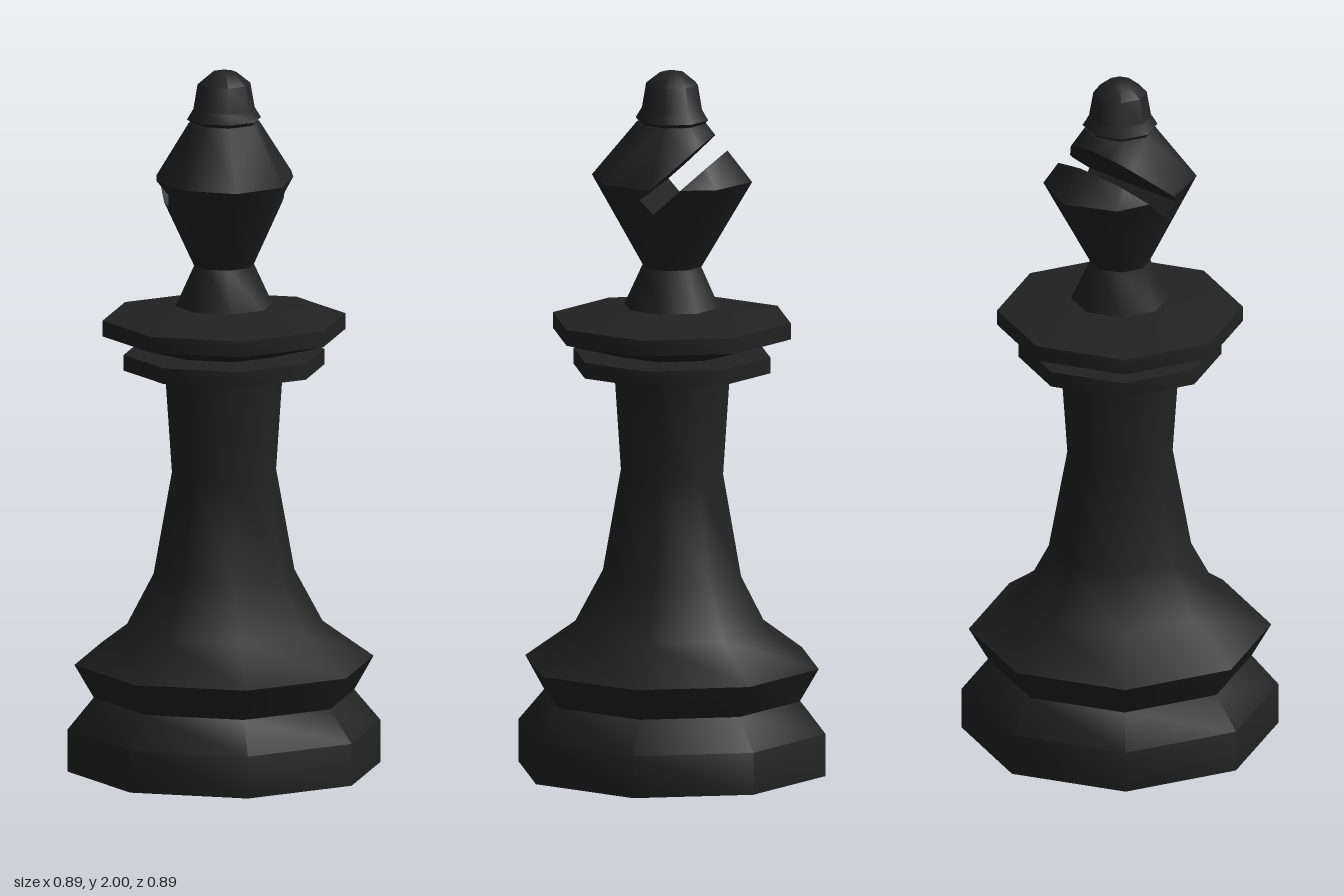
import * as THREE from 'three';
import { toCreasedNormals } from 'three/addons/utils/BufferGeometryUtils.js';
import { ConvexGeometry } from 'three/addons/geometries/ConvexGeometry.js';

const SIDES = 8;
const material = new THREE.MeshStandardMaterial({ color: 0x222222 });

function addPart(group, name, geometry) {
  const mesh = new THREE.Mesh(toCreasedNormals(geometry, 0.9), material);
  mesh.name = name;
  group.add(mesh);
}

// Eight-sided turned part from [radius, height] pairs, bottom to top
function turned(profile) {
  return new THREE.LatheGeometry(profile.map(([r, y]) => new THREE.Vector2(r, y)), SIDES);
}

// Corner points of an eight-sided ring
function ring(rx, rz, y) {
  return Array.from({ length: SIDES }, (_, i) => {
    const a = (i / SIDES) * Math.PI * 2;
    return new THREE.Vector3(Math.sin(a) * rx, y, Math.cos(a) * rz);
  });
}

// Keeps the part of a convex point set where ny*y + nz*z >= d
function clip(points, ny, nz, d) {
  const dist = (p) => ny * p.y + nz * p.z - d;
  const kept = points.filter((p) => dist(p) >= 0);
  const cut = points.filter((p) => dist(p) < 0);
  const crossings = [];
  for (const a of kept) {
    for (const b of cut) crossings.push(a.clone().lerp(b, dist(a) / (dist(a) - dist(b))));
  }
  return [...kept, ...crossings];
}

export function createModel() {
  const group = new THREE.Group();
  group.name = 'chessBishop';

  // Stepped foot and tapering stem
  addPart(group, 'baseAndStem', turned([
    [0, 0], [0.445, 0], [0.445, 0.12], [0.37, 0.21], [0.425, 0.305], [0.28, 0.41],
    [0.2, 0.56], [0.148, 0.85], [0.167, 1.13], [0.167, 1.14], [0, 1.14],
  ]));

  // Two collars below the head
  addPart(group, 'lowerCollar', turned([
    [0, 1.13], [0.167, 1.13], [0.285, 1.145], [0.285, 1.19], [0.17, 1.195], [0, 1.195],
  ]));
  addPart(group, 'upperCollar', turned([
    [0, 1.19], [0.17, 1.195], [0.345, 1.245], [0.345, 1.29], [0.14, 1.325], [0, 1.325],
  ]));
  addPart(group, 'neck', turned([[0, 1.31], [0.14, 1.32], [0.085, 1.44], [0, 1.44]]));

  // Head with a slanted slot, open towards the back
  const head = [...ring(0.085, 0.085, 1.44), ...ring(0.2, 0.232, 1.69), ...ring(0.1, 0.1, 1.85)];
  const ny = 0.73, nz = 0.685, slotTop = 1.244, slotBottom = 1.187, slotEnd = 1.096;
  addPart(group, 'headAboveSlot', new ConvexGeometry(clip(head, ny, nz, slotTop)));
  addPart(group, 'headBelowSlot', new ConvexGeometry(clip(head, -ny, -nz, -slotBottom)));
  let bridge = clip(head, ny, nz, slotBottom);
  bridge = clip(bridge, -ny, -nz, -slotTop);
  bridge = clip(bridge, -nz, ny, -slotEnd);
  addPart(group, 'headBridge', new ConvexGeometry(bridge));

  // Small ring and domed knob
  addPart(group, 'finial', turned([
    [0, 1.845], [0.09, 1.848], [0.105, 1.86], [0.09, 1.885], [0.087, 1.89],
    [0.075, 1.96], [0.035, 1.992], [0, 2],
  ]));

  return group;
}
